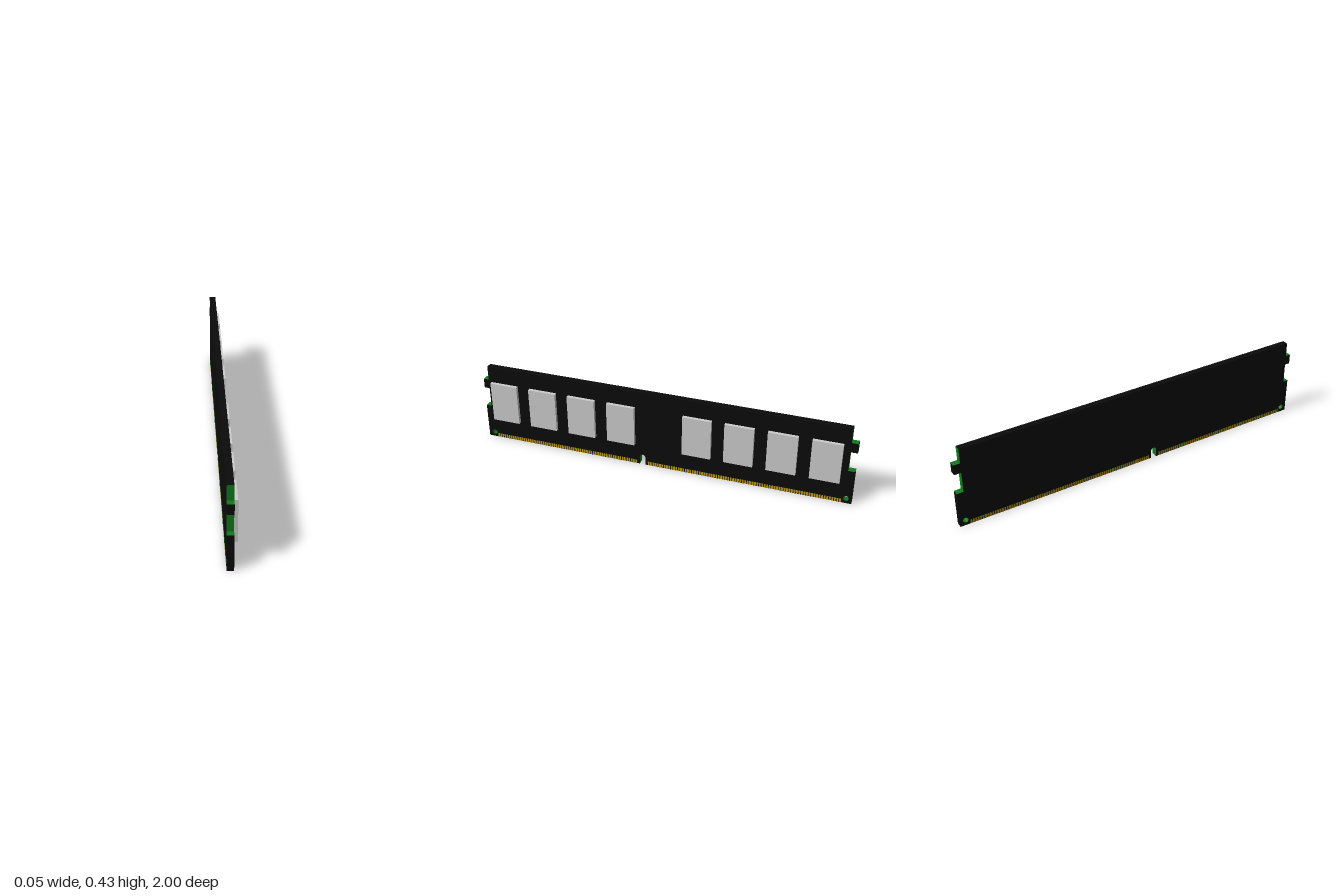
import * as THREE from 'three';

const BACK = -0.026, FRONT = 0.007; // board thickness along x
const mat = (color) => new THREE.MeshStandardMaterial({ color });

// Points of an arc in the board plane
function arc(cx, cy, r, a0, a1, n) {
  return Array.from({ length: n + 1 }, (_, i) => {
    const a = a0 + (a1 - a0) * i / n;
    return [cx + r * Math.cos(a), cy + r * Math.sin(a)];
  });
}

// Edge wall following a run of points through the board thickness
function wall(points) {
  const pos = [];
  for (let i = 0; i < points.length - 1; i++) {
    const [a, b] = points[i], [c, d] = points[i + 1];
    pos.push(a, b, BACK, c, d, BACK, c, d, FRONT, a, b, BACK, c, d, FRONT, a, b, FRONT);
  }
  const g = new THREE.BufferGeometry();
  g.setAttribute('position', new THREE.Float32BufferAttribute(pos, 3));
  g.computeVertexNormals();
  return g;
}

export function createModel() {
  const group = new THREE.Group();
  group.name = 'memoryModule';
  // Drawn flat in the board plane, then turned so the chip side faces +x
  const black = mat(0x0b0b0b), green = mat(0x0f7a1a), gold = mat(0xc4960f), grey = mat(0xcccccc);
  const add = (name, geo, material) => {
    geo.rotateY(Math.PI / 2);
    const m = new THREE.Mesh(geo, material);
    m.name = name;
    group.add(m);
  };

  // Outline in counter-clockwise runs: black outer edges, green cut edges
  const L = -0.971, R = 0.965, H = 0.433;
  const runs = [
    ['bottomEdgeShort', black, [[-1, 0], [-0.117, 0]]],
    ['keyNotch', green, [[-0.117, 0], ...arc(-0.101, 0.043, 0.016, Math.PI, 0, 12), [-0.085, 0]]],
    ['bottomEdgeLong', black, [[-0.085, 0], [1, 0], [1, 0.193]]],
    ['backLatchNotch', green, [[1, 0.193], [R, 0.193], [R, 0.302], [1, 0.302]]],
    ['backTabEdge', black, [[1, 0.302], [1, 0.355]]],
    ['backTopNotch', green, [[1, 0.355], [R, 0.355], [R, H]]],
    ['topEdge', black, [[R, H], [L, H]]],
    ['frontTopNotch', green, [[L, H], [L, 0.355], [-1, 0.355]]],
    ['frontTabEdge', black, [[-1, 0.355], [-1, 0.302]]],
    ['frontLatchNotch', green, [[-1, 0.302], [L, 0.302], [L, 0.193], [-1, 0.193]]],
    ['frontLowerEdge', black, [[-1, 0.193], [-1, 0]]],
  ];
  const vec = ([x, y]) => new THREE.Vector2(x, y);
  const shape = new THREE.Shape(runs.flatMap(([, , p]) => p.slice(0, -1)).map(vec));
  for (const [name, material, pts] of runs) add(name, wall(pts), material);

  // Small round holes in the lower corners, with green walls
  for (const u of [-0.967, 0.971]) {
    const pts = arc(u, 0.028, 0.014, Math.PI * 2, 0, 24);
    shape.holes.push(new THREE.Path(pts.slice(0, -1).map(vec)));
    add('cornerHole', wall(pts), green);
  }

  // Board faces
  add('boardFace', new THREE.ShapeGeometry(shape).translate(0, 0, FRONT), black);
  add('boardBack', new THREE.ShapeGeometry(shape).rotateY(Math.PI).scale(-1, 1, 1)
    .translate(0, 0, BACK), new THREE.MeshStandardMaterial({ color: 0x0b0b0b, side: THREE.DoubleSide }));

  // Gold contact fingers, slightly proud of both faces
  const pitch = 0.0128, w = 0.0092, fingers = [];
  for (const [start, count] of [[-0.948, 64], [-0.072, 80]]) {
    for (let i = 0; i < count; i++) {
      const u = start + i * pitch;
      fingers.push(new THREE.Shape([[u, 0.001], [u + w, 0.001], [u + w, 0.022], [u, 0.022]].map(vec)));
    }
  }
  const depth = FRONT - BACK + 0.002;
  add('contactFingers', new THREE.ExtrudeGeometry(fingers, { depth, bevelEnabled: false })
    .translate(0, 0, BACK - 0.001), [gold, green]);

  // Two banks of four chips
  for (const first of [-0.877, 0.195]) {
    for (let i = 0; i < 4; i++) {
      add('memoryChip', new THREE.BoxGeometry(0.152, 0.223, 0.018)
        .translate(first + i * 0.2203, 0.2315, FRONT + 0.009), grey);
    }
  }
  return group;
}
